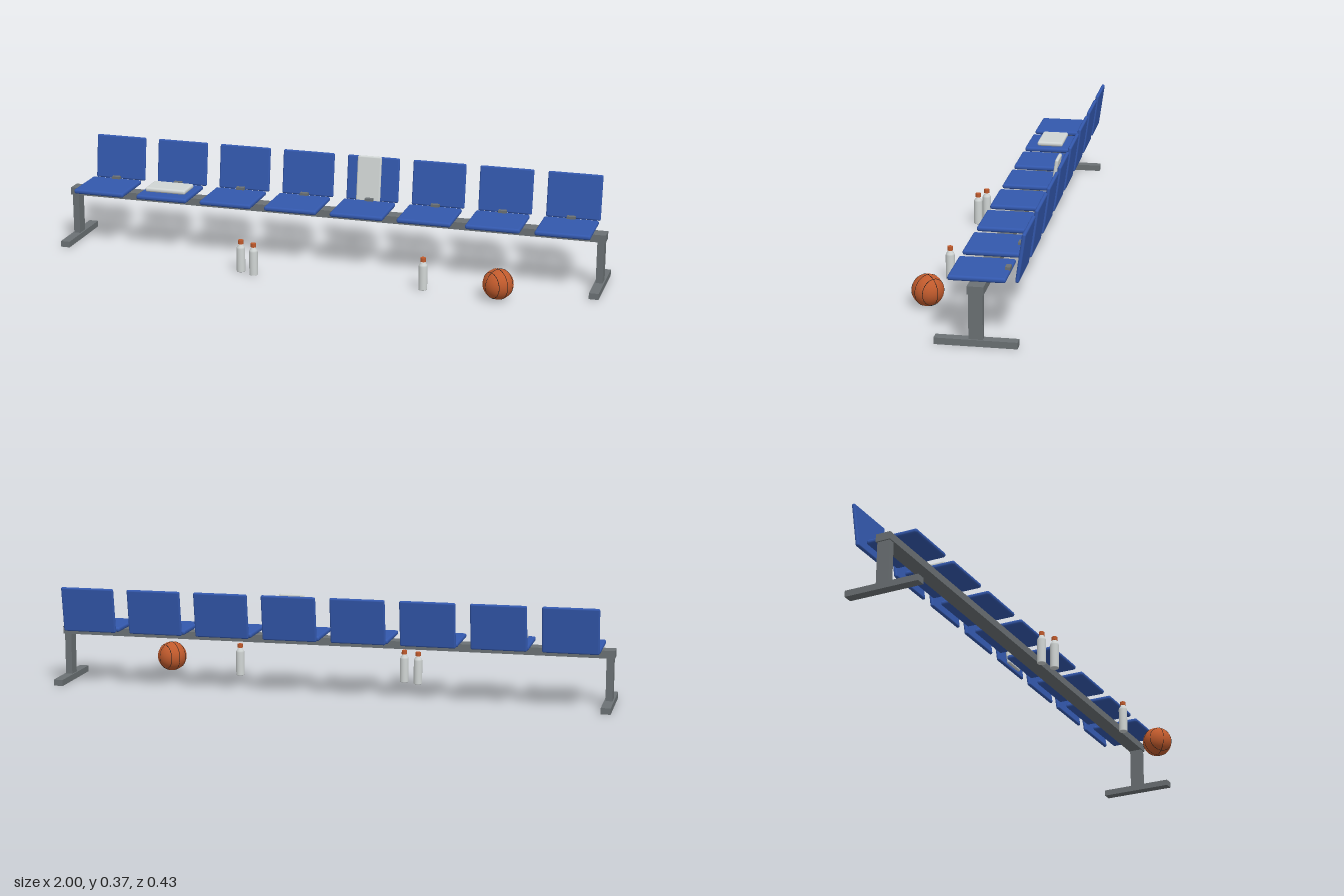
import * as THREE from 'three';
import { RoundedBoxGeometry } from 'three/addons/geometries/RoundedBoxGeometry.js';

const paint = (name, color) => {
  const m = new THREE.MeshStandardMaterial({ color });
  m.name = name;
  return m;
};

export function createModel() {
  const blue = paint('seat blue', 0x3358ad);
  const steel = paint('steel grey', 0x6b7174);
  const white = paint('towel white', 0xd0d5d4);
  const orange = paint('ball orange', 0xc05a2c);
  const black = paint('seam black', 0x1b1a1a);

  const model = new THREE.Group();
  model.name = 'teamBench';

  const add = (parent, name, geometry, material, x = 0, y = 0, z = 0) => {
    const mesh = new THREE.Mesh(geometry, material);
    mesh.name = name;
    mesh.position.set(x, y, z);
    parent.add(mesh);
    return mesh;
  };
  const box = (w, h, d) => new THREE.BoxGeometry(w, h, d);
  const pad = (w, h, d, r) => new RoundedBoxGeometry(w, h, d, 3, r);

  // Frame: long beam on two T-shaped legs
  add(model, 'beam', box(2, 0.027, 0.053), steel, 0, 0.185, -0.0635);
  for (const side of [-1, 1]) {
    add(model, 'post', box(0.024, 0.152, 0.046), steel, side * 0.983, 0.097, -0.0635);
    add(model, 'foot', box(0.034, 0.022, 0.267), steel, side * 0.983, 0.011, -0.0635);
  }

  // Eight seats with tilted backrests
  const tilt = -0.138;
  const seatGeo = pad(0.195, 0.017, 0.186, 0.0075);
  const backGeo = pad(0.195, 0.163, 0.0125, 0.006);
  const bracketGeo = box(0.03, 0.012, 0.017);
  for (let i = 0; i < 8; i++) {
    const seat = new THREE.Group();
    seat.name = 'seat';
    seat.position.x = (i - 3.5) * 0.2457;
    add(seat, 'seatPad', seatGeo, blue, 0, 0.2065, -0.059);
    add(seat, 'backrest', backGeo, blue, 0, 0.283, -0.198).rotation.x = tilt;
    add(seat, 'bracket', bracketGeo, steel, 0, 0.218, -0.1435);
    model.add(seat);
  }

  // Folded towel on one seat, another hung against a backrest
  add(model, 'foldedTowel', pad(0.155, 0.017, 0.097, 0.0075), white, -0.615, 0.2245, -0.0585);
  add(model, 'hangingTowel', pad(0.09, 0.167, 0.0125, 0.006), white, 0.1125, 0.287, -0.1785).rotation.x = tilt;

  // Water bottles
  const profile = [[0, 0], [0.0145, 0], [0.0155, 0.002], [0.0155, 0.086], [0.014, 0.092], [0.0085, 0.099], [0.0085, 0.104], [0, 0.104]];
  const bodyGeo = new THREE.LatheGeometry(profile.map(([r, y]) => new THREE.Vector2(r, y)), 24);
  const capGeo = new THREE.CylinderGeometry(0.0097, 0.0097, 0.014, 20);
  for (const [x, z] of [[-0.272, 0.137], [-0.217, 0.159], [0.397, 0.139]]) {
    const bottle = new THREE.Group();
    bottle.name = 'bottle';
    bottle.position.set(x, 0, z);
    add(bottle, 'bottleBody', bodyGeo, white);
    add(bottle, 'bottleCap', capGeo, orange, 0, 0.11, 0);
    model.add(bottle);
  }

  // Ball with two crossing great seams and two parallel side seams
  const R = 0.0535;
  const ball = new THREE.Group();
  ball.name = 'ball';
  ball.position.set(0.667, 0.055, 0.159);
  ball.rotation.y = Math.atan2(0.65, -0.76);
  add(ball, 'ballSkin', new THREE.SphereGeometry(R, 40, 28), orange);
  const ring = (r) => new THREE.TorusGeometry(r, 0.0009, 6, 64);
  add(ball, 'seam', ring(R), black);
  add(ball, 'seam', ring(R), black).rotation.y = Math.PI / 2;
  for (const side of [-1, 1]) {
    add(ball, 'sideSeam', ring(R * Math.sqrt(1 - 0.55 ** 2)), black, 0, 0, side * R * 0.55);
  }
  model.add(ball);

  return model;
}
